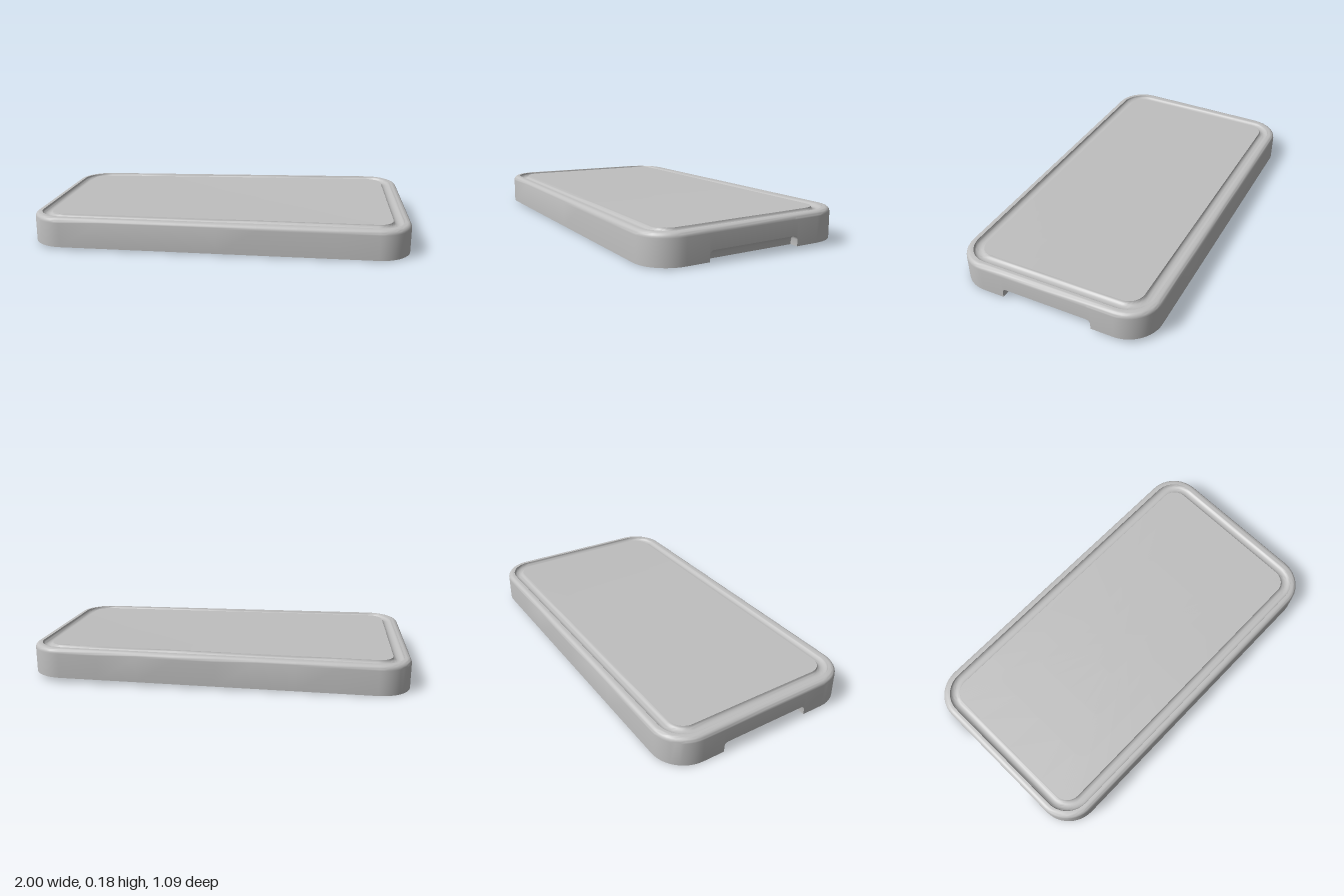
import * as THREE from 'three';
import { toCreasedNormals } from 'three/addons/utils/BufferGeometryUtils.js';

const HX = 1, HZ = 0.545, R = 0.175, TOP = 0.158;
const FILLET = 0.026;
const NOTCH = { halfLength: 0.25, height: 0.053, depth: 0.05 };

// Slight twist of the wood: lift at each corner, blended across the board.
function lift(x, z) {
  const u = (x / HX + 1) / 2, v = (z / HZ + 1) / 2;
  const back = THREE.MathUtils.lerp(0, 0.028, u);
  const front = THREE.MathUtils.lerp(0.012, 0.004, u);
  return THREE.MathUtils.lerp(back, front, v);
}

// Outline stations: corner centre or edge point, outward normal, notch height.
function outline() {
  const L = NOTCH.halfLength, H = NOTCH.height;
  const half = [[L, 0], [L, H - 0.02], [L - 0.003, H - 0.01], [L - 0.01, H - 0.003], [L - 0.02, H]];
  const notch = [...half.map(([z, h]) => [-z, h]), [0, H], ...[...half].reverse()];
  const pts = [];
  for (const side of [1, -1]) {
    for (const [z, h] of notch) pts.push({ x: side * (HX - R), z: side * z, nx: side, nz: 0, h });
    const corner = (sx, sz, start) => {
      for (let i = 0; i <= 12; i++) {
        const a = start + (i / 12) * Math.PI / 2;
        pts.push({ x: sx * (HX - R), z: sz * (HZ - R), nx: Math.cos(a), nz: Math.sin(a), h: 0 });
      }
    };
    const a0 = side > 0 ? 0 : Math.PI;
    corner(side, side, a0);
    for (let i = 1; i < 8; i++) {
      pts.push({ x: side * (HX - R) * (1 - i / 4), z: side * (HZ - R), nx: 0, nz: side, h: 0 });
    }
    corner(-side, side, a0 + Math.PI / 2);
  }
  return pts;
}

// Cross-section from the top centre, over the groove and rim, to the bottom centre.
function section() {
  const rows = [];
  const gOut = 0.037, gIn = 0.093, gDepth = 0.02;
  for (const s of [0, 0.25, 0.5, 0.75]) rows.push({ inset: gIn, y: TOP, scale: s });
  for (let i = 0; i <= 10; i++) { // juice groove
    const a = (i / 10) * Math.PI;
    rows.push({ inset: (gIn + gOut) / 2 + Math.cos(a) * (gIn - gOut) / 2, y: TOP - gDepth * Math.sin(a), scale: 1 });
  }
  for (let i = 0; i <= 6; i++) { // rounded upper edge
    const a = (i / 6) * Math.PI / 2;
    rows.push({ inset: FILLET * (1 - Math.sin(a)), y: TOP - FILLET * (1 - Math.cos(a)), scale: 1 });
  }
  // wall foot and the cove inside the finger notches
  for (const [u, v] of [[0, 1], [0.45, 1], [0.7, 0.93], [0.88, 0.75], [0.97, 0.45], [1, 0]]) {
    rows.push({ inset: NOTCH.depth * u, y: 0, notch: v, scale: 1 });
  }
  for (const s of [0.75, 0.5, 0.25, 0]) rows.push({ inset: NOTCH.depth, y: 0, scale: s });
  return rows;
}

function boardGeometry() {
  const pts = outline(), rows = section();
  const grid = rows.map(({ inset, y, notch = 0, scale }) => pts.map((p) => {
    const x = (p.x + p.nx * (R - inset)) * scale;
    const z = (p.z + p.nz * (R - inset)) * scale;
    return new THREE.Vector3(x, y + notch * p.h + lift(x, z), z);
  }));
  const out = [];
  const tri = new THREE.Triangle();
  const add = (a, b, c) => {
    tri.set(a, b, c);
    if (tri.getArea() > 1e-9) out.push(...a.toArray(), ...b.toArray(), ...c.toArray());
  };
  for (let i = 0; i < grid.length - 1; i++) {
    for (let k = 0; k < pts.length; k++) {
      const n = (k + 1) % pts.length;
      add(grid[i][k], grid[i + 1][n], grid[i + 1][k]);
      add(grid[i][k], grid[i][n], grid[i + 1][n]);
    }
  }
  const geo = new THREE.BufferGeometry();
  geo.setAttribute('position', new THREE.Float32BufferAttribute(out, 3));
  return toCreasedNormals(geo, 0.6);
}

export function createModel() {
  const group = new THREE.Group();
  group.name = 'cuttingBoard';
  const grey = new THREE.MeshStandardMaterial({ color: 0xbfbfbf });
  grey.name = 'plainGrey';
  const board = new THREE.Mesh(boardGeometry(), grey);
  board.name = 'board';
  group.add(board);
  return group;
}
